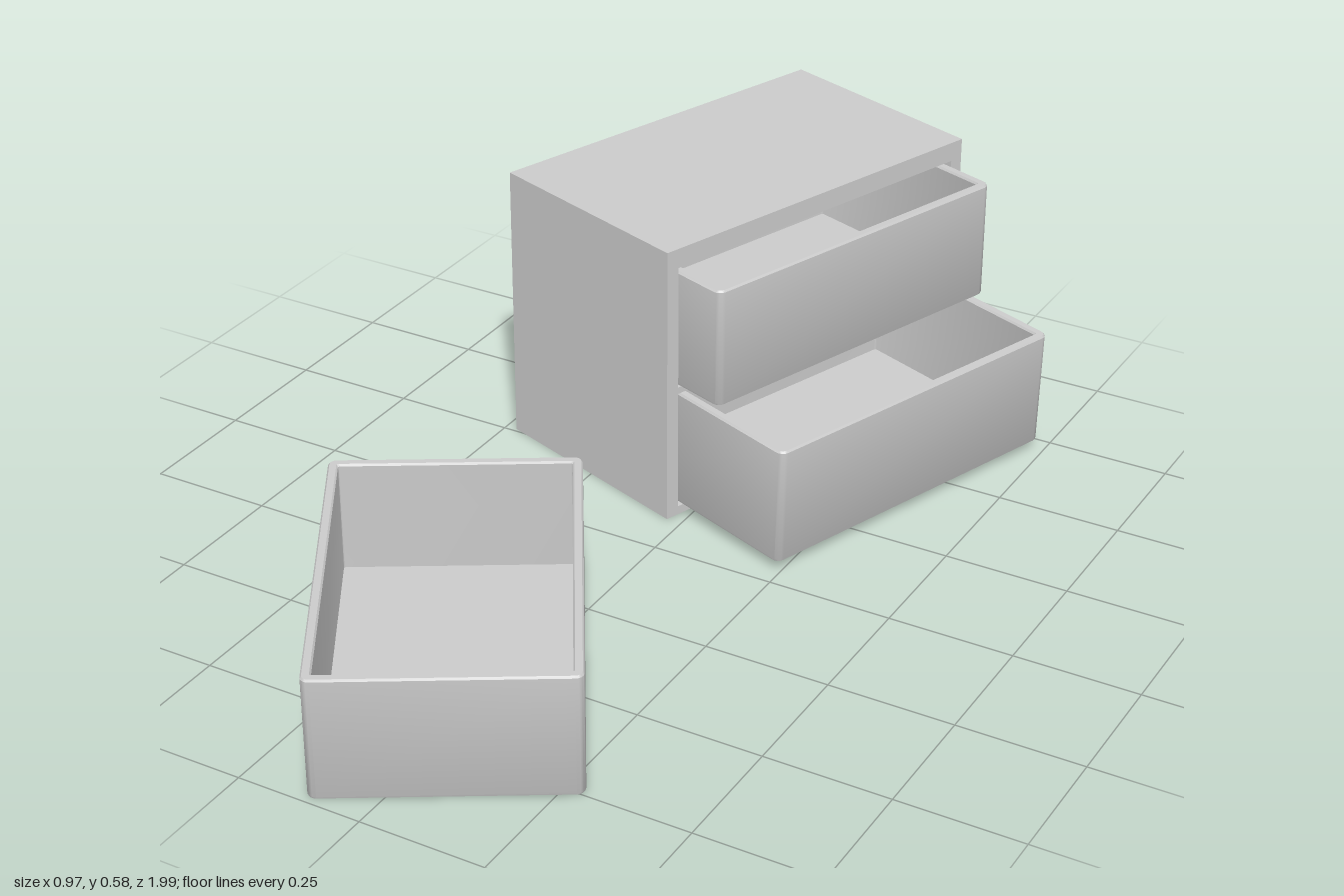
import * as THREE from 'three';
import { toCreasedNormals } from 'three/addons/utils/BufferGeometryUtils.js';

const material = new THREE.MeshStandardMaterial({ color: 0xcccccc });

// Cabinet and drawer sizes
const W = 0.786, H = 0.58, D = 0.471, WALL = 0.028, BACK = 0.02;
const DW = 0.725, DD = 0.474, DH = 0.245;

// Horizontal loop of a rounded rectangle, inset from the drawer's outer edge
function ring(inset, y) {
  const r = Math.max(0.016 - inset, 0.004), pts = [];
  const cx = DW / 2 - inset - r, cz = DD / 2 - inset - r;
  const corners = [[1, 1], [-1, 1], [-1, -1], [1, -1]];
  corners.forEach(([sx, sz], q) => {
    for (let i = 0; i <= 4; i++) {
      const a = (q + i / 4) * Math.PI / 2;
      pts.push([sx * cx + r * Math.cos(a), y, sz * cz + r * Math.sin(a)]);
    }
  });
  return pts;
}

// Open tray: outside skin, rim, inside skin and floor as one closed surface
function drawerGeometry() {
  const point = y => ring(0, y).map(() => [0, y, 0]);
  const loops = [
    point(0), ring(0.006, 0), ring(0.002, 0.002), ring(0, 0.006),
    ring(0, DH - 0.004), ring(0.003, DH),
    ring(0.016, DH), ring(0.019, DH - 0.004),
    ring(0.019, 0.02), point(0.02),
  ];
  const n = loops[0].length, index = [];
  for (let k = 0; k < loops.length - 1; k++) {
    for (let i = 0; i < n; i++) {
      const j = (i + 1) % n;
      const a = k * n + i, b = k * n + j, c = a + n, d = b + n;
      if (k > 0) index.push(a, c, b);
      if (k < loops.length - 2) index.push(b, c, d);
      if (k === 0) index.push(b, c, d);
      if (k === loops.length - 2) continue;
    }
  }
  const g = new THREE.BufferGeometry();
  g.setAttribute('position', new THREE.Float32BufferAttribute(loops.flat(2), 3));
  g.setIndex(index);
  return toCreasedNormals(g, 0.6);
}

// Rectangular outline from its left, bottom, right and top
function rect(Type, x0, y0, x1, y1) {
  const p = new Type();
  p.moveTo(x0, y0).lineTo(x1, y0).lineTo(x1, y1).lineTo(x0, y1).closePath();
  return p;
}

function add(parent, name, geometry, x, y, z) {
  const mesh = new THREE.Mesh(geometry, material);
  mesh.name = name;
  mesh.position.set(x, y, z);
  parent.add(mesh);
  return mesh;
}

export function createModel() {
  const model = new THREE.Group();
  model.name = 'drawerCabinet';

  // Cabinet, turned so its drawers open mostly towards +x
  const cabinet = new THREE.Group();
  cabinet.name = 'cabinet';
  cabinet.position.set(-0.124, 0, -0.551);
  cabinet.rotation.y = 1.234;
  model.add(cabinet);

  // Shell with two drawer bays separated by a shelf
  const outline = rect(THREE.Shape, -W / 2, 0, W / 2, H);
  for (const [y0, y1] of [[0.018, 0.27], [0.284, 0.54]]) {
    outline.holes.push(rect(THREE.Path, -W / 2 + WALL, y0, W / 2 - WALL, y1));
  }
  const shell = new THREE.ExtrudeGeometry(outline, { depth: D - BACK, bevelEnabled: false });
  add(cabinet, 'shell', shell, 0, 0, -D / 2 + BACK);
  add(cabinet, 'backPanel', new THREE.BoxGeometry(W, H, BACK), 0, H / 2, -D / 2 + BACK / 2);

  // Two drawers pulled out by different amounts, the lower one sagging a little
  const tray = drawerGeometry();
  add(cabinet, 'upperDrawer', tray, 0, 0.285, 0.347 - DD / 2);
  const lower = add(cabinet, 'lowerDrawer', tray, 0, 0.024, 0.519 - DD / 2);
  lower.rotation.x = 0.025;

  // Third drawer lying on the ground
  const loose = add(model, 'looseDrawer', tray, -0.096, 0, 0.562);
  loose.rotation.y = -1.026;

  return model;
}
